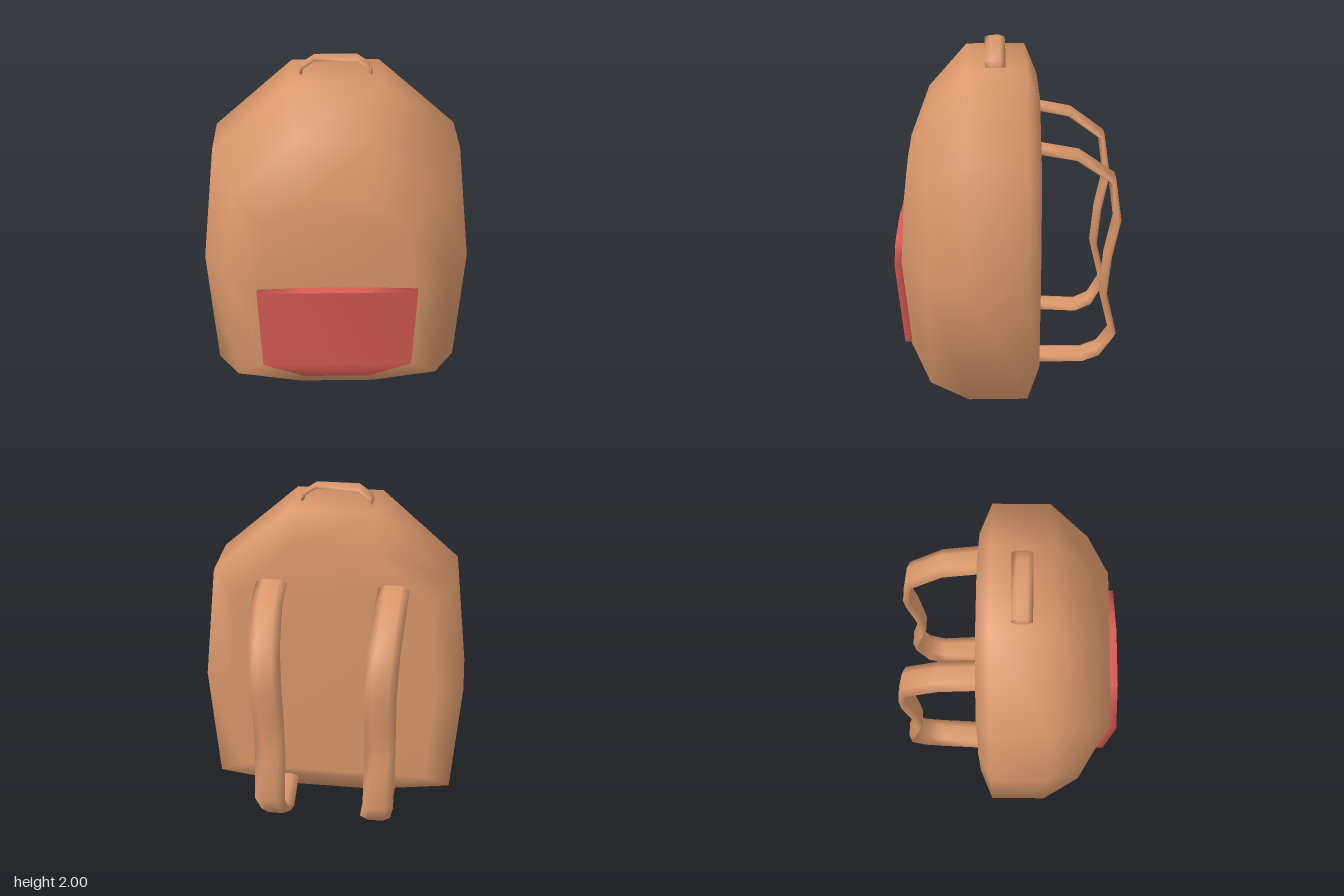
import * as THREE from 'three';

const fabric = new THREE.MeshStandardMaterial({ color: 0xd9976b });
const red = new THREE.MeshStandardMaterial({ color: 0xd95c55 });

// Smooth closed skin over rings of points, capped by strips running across each end ring
function loft(rings) {
  const n = rings[0].length, last = (rings.length - 1) * n, index = [];
  const quad = (a, b, c, d) => index.push(a, b, c, a, c, d);
  for (let k = 0; k < rings.length - 1; k++) {
    for (let i = 0; i < n; i++) {
      const j = (i + 1) % n;
      quad(k * n + i, k * n + j, (k + 1) * n + j, (k + 1) * n + i);
    }
  }
  for (let i = 0; i < n / 2 - 1; i++) {
    quad(last + i, last + i + 1, last + n - 2 - i, last + n - 1 - i);
    quad(n - 1 - i, n - 2 - i, i + 1, i);
  }
  const geometry = new THREE.BufferGeometry();
  geometry.setAttribute('position', new THREE.Float32BufferAttribute(rings.flat(2), 3));
  geometry.setIndex(index);
  geometry.computeVertexNormals();
  return geometry;
}

// Full outline from its right half, listed bottom to top
const mirrored = (half) => [...half, ...half.slice().reverse().map(([x, y, z]) => [-x, y, z])];
const atZ = (z, half) => mirrored(half.map(([x, y]) => [x, y, z]));

// Lens-shaped band following a path; side is the direction of its width
function band(path, side, width, thickness) {
  const pts = path.map((p) => new THREE.Vector3(...p));
  const section = [[0.25, -0.5], [0.5, 0], [0.25, 0.5], [-0.25, 0.5], [-0.5, 0], [-0.25, -0.5]];
  return loft(pts.map((p, i) => {
    const tangent = pts[Math.min(i + 1, pts.length - 1)].clone().sub(pts[Math.max(i - 1, 0)]);
    const normal = tangent.cross(side).normalize();
    return section.map(([u, v]) => p.clone()
      .addScaledVector(side, u * width)
      .addScaledVector(normal, v * thickness).toArray());
  }));
}

export function createModel() {
  const group = new THREE.Group();
  const add = (name, geometry, material = fabric) => {
    const mesh = new THREE.Mesh(geometry, material);
    mesh.name = name;
    group.add(mesh);
  };

  // Body: outlines stacked from back to front
  const outline = [[0.25, 0], [0.73, 0.07], [0.78, 0.8], [0.7, 1.51], [0.25, 1.91]];
  add('body', loft([
    atZ(-0.19, [[0.22, 0.14], [0.57, 0.18], [0.62, 0.8], [0.56, 1.4], [0.22, 1.73]]),
    atZ(-0.115, outline),
    atZ(0.225, outline),
    atZ(0.45, [[0.22, 0.04], [0.6, 0.1], [0.65, 0.8], [0.58, 1.33], [0.22, 1.66]]),
    mirrored([[0.18, 0.2, 0.57], [0.42, 0.27, 0.57], [0.45, 0.81, 0.605],
      [0.4, 1.2, 0.58], [0.18, 1.36, 0.565]]),
  ]));

  // Front pocket: a thin slab leaning with the body, its sides curving back
  const pocketHalf = [[0.19, 0.2], [0.435, 0.28], [0.455, 0.81], [0.18, 0.82]];
  const pocketRing = (z) => mirrored(pocketHalf.map(([x, y]) =>
    [x, y, z + 0.08 * (y - 0.2) - 0.08 * x * x]));
  add('frontPocket', loft([pocketRing(0.555), pocketRing(0.613)]), red);

  // Carrying handle
  add('handle', band([
    [-0.2, 1.9, 0.06], [-0.19, 1.94, 0.06], [-0.12, 1.99, 0.06],
    [0.12, 1.99, 0.06], [0.19, 1.94, 0.06], [0.2, 1.9, 0.06],
  ], new THREE.Vector3(0, 0, 1), 0.115, 0.02));

  // Shoulder straps
  const strapPath = [
    [0.35, 1.49, -0.17], [0.345, 1.445, -0.4], [0.33, 1.3, -0.6], [0.32, 1.04, -0.64],
    [0.32, 0.8, -0.595], [0.32, 0.55, -0.575], [0.32, 0.28, -0.64], [0.3, 0.14, -0.56],
    [0.295, 0.095, -0.46], [0.31, 0.105, -0.13],
  ];
  for (const [name, s] of [['leftStrap', 1], ['rightStrap', -1]]) {
    const path = strapPath.map(([x, y, z]) => [s * x, y, z]);
    add(name, band(path, new THREE.Vector3(1, 0, 0), 0.18, 0.042));
  }
  return group;
}
